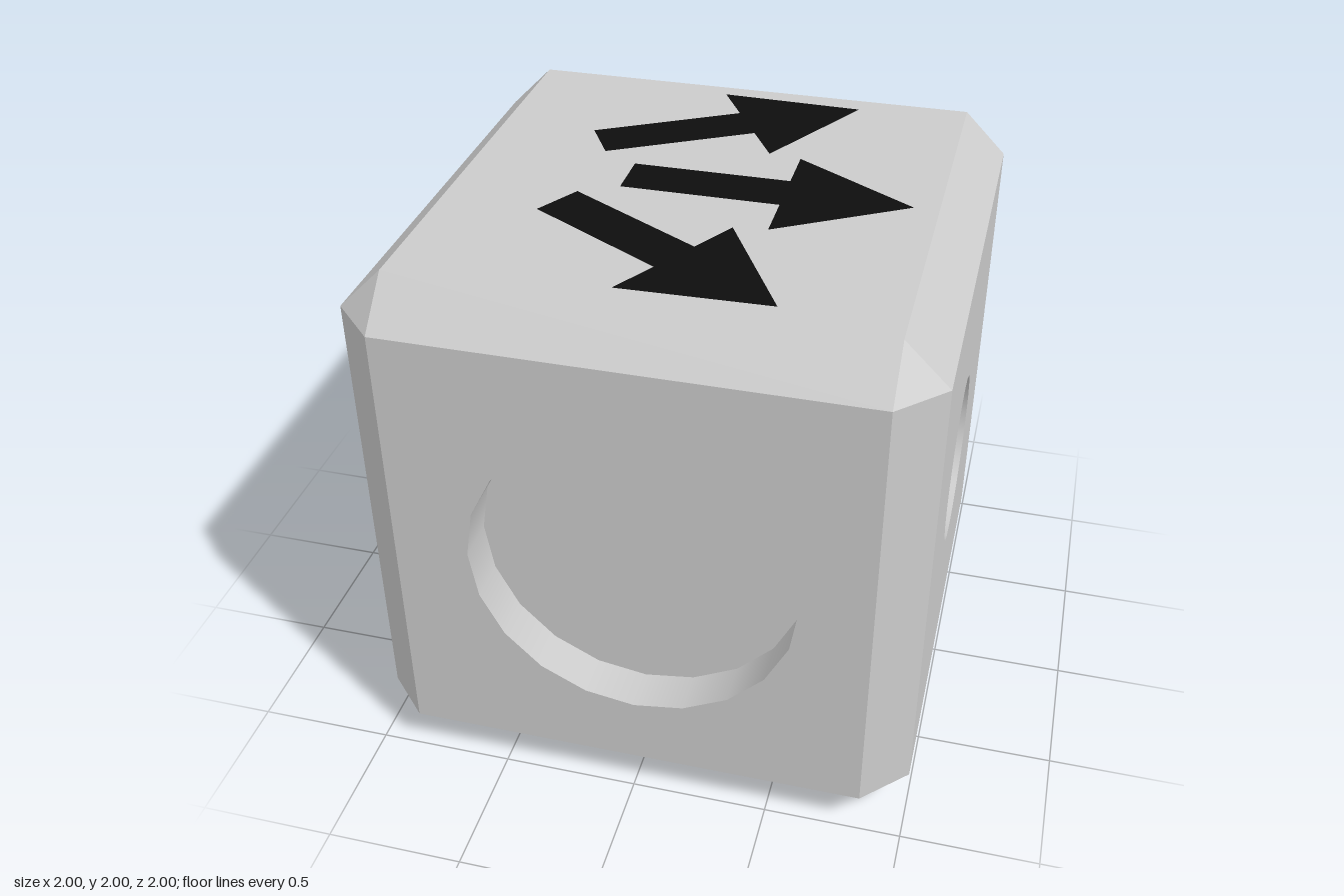
import * as THREE from 'three';
import { mergeGeometries } from 'three/addons/utils/BufferGeometryUtils.js';

const FACE = 0.843;        // half width of each flat face
const BEVEL = 1 - FACE;
const DEPTH = 0.16;        // recess depth
const SIDES = 20;

const grey = new THREE.MeshStandardMaterial({ color: 0xcccccc });
const black = new THREE.MeshStandardMaterial({ color: 0x0d0d0d });

function addMesh(parent, name, geometry, material = grey) {
  const mesh = new THREE.Mesh(geometry, material);
  mesh.name = name;
  parent.add(mesh);
  return mesh;
}

// One flat face looking along +z, with an optional round recess
function makeFace(name, radius = 0, offset = 0) {
  const face = new THREE.Group();
  face.name = name;
  const shape = new THREE.Shape([[-1, -1], [1, -1], [1, 1], [-1, 1]]
    .map(([x, y]) => new THREE.Vector2(x * FACE, y * FACE)));
  if (radius) {
    const rim = [];
    for (let i = 0; i < SIDES; i++) {
      const a = -i / SIDES * Math.PI * 2;
      rim.push(new THREE.Vector2(offset + radius * Math.cos(a), radius * Math.sin(a)));
    }
    shape.holes.push(new THREE.Path(rim));

    // profile runs inward so the wall faces the axis
    const wall = new THREE.LatheGeometry(
      [new THREE.Vector2(radius, 0), new THREE.Vector2(radius, -DEPTH)], SIDES);
    wall.rotateX(Math.PI / 2).translate(offset, 0, 1);
    addMesh(face, 'recessWall', wall);
    const floor = new THREE.CircleGeometry(radius, SIDES).translate(offset, 0, 1 - DEPTH);
    addMesh(face, 'recessFloor', floor);
  }
  addMesh(face, 'panel', new THREE.ShapeGeometry(shape).translate(0, 0, 1));
  return face;
}

// Twelve bevel strips: four around each axis
function makeBevels() {
  const strips = [];
  for (const [rx, rz] of [[0, 0], [Math.PI / 2, 0], [0, Math.PI / 2]]) {
    for (let i = 0; i < 4; i++) {
      strips.push(new THREE.PlaneGeometry(BEVEL * Math.SQRT2, FACE * 2)
        .translate(0, 0, (1 + FACE) / Math.SQRT2)
        .rotateY(Math.PI / 4 + i * Math.PI / 2)
        .rotateX(rx).rotateZ(rz));
    }
  }
  return mergeGeometries(strips);
}

// Eight corner triangles
function makeCorners() {
  const points = [];
  for (const x of [-1, 1]) for (const y of [-1, 1]) for (const z of [-1, 1]) {
    const tri = [[x, y * FACE, z * FACE], [x * FACE, y, z * FACE], [x * FACE, y * FACE, z]];
    if (x * y * z < 0) tri.reverse();
    points.push(...tri.flat());
  }
  const geometry = new THREE.BufferGeometry();
  geometry.setAttribute('position', new THREE.Float32BufferAttribute(points, 3));
  geometry.computeVertexNormals();
  return geometry;
}

// Flat arrow starting at the origin and pointing along +x
function makeArrow() {
  const shape = new THREE.Shape([
    [0, -0.093], [0.57, -0.093], [0.57, -0.277], [1.02, 0],
    [0.57, 0.277], [0.57, 0.093], [0, 0.093],
  ].map(([x, y]) => new THREE.Vector2(x, y)));
  return new THREE.ShapeGeometry(shape).rotateX(-Math.PI / 2);
}

export function createModel() {
  const model = new THREE.Group();
  model.name = 'bevelledCube';
  const cube = new THREE.Group();
  cube.name = 'cube';
  cube.position.y = 1;
  model.add(cube);

  // Faces: name, recess radius, recess offset, rotation about x and y
  const q = Math.PI / 2;
  for (const [name, radius, offset, rx, ry] of [
    ['frontFace', 0.583, 0.01, 0, 0],
    ['backFace', 0.583, -0.01, 0, 2 * q],
    ['rightSideFace', 0.313, -0.025, 0, q],
    ['leftSideFace', 0.583, 0.025, 0, -q],
    ['topFace', 0, 0, -q, 0],
    ['bottomFace', 0, 0, q, 0],
  ]) {
    const face = makeFace(name, radius, offset);
    face.rotation.set(rx, ry, 0);
    cube.add(face);
  }
  addMesh(cube, 'bevels', makeBevels());
  addMesh(cube, 'corners', makeCorners());

  // Three arrows fanned out on the top
  for (const [name, x, z, angle] of [
    ['backArrow', -0.445, -0.248, Math.PI / 6],
    ['middleArrow', -0.265, -0.002, 0],
    ['frontArrow', -0.445, 0.244, -Math.PI / 6],
  ]) {
    const arrow = addMesh(cube, name, makeArrow(), black);
    arrow.position.set(x, 1.002, z);
    arrow.rotation.y = angle;
  }
  return model;
}
